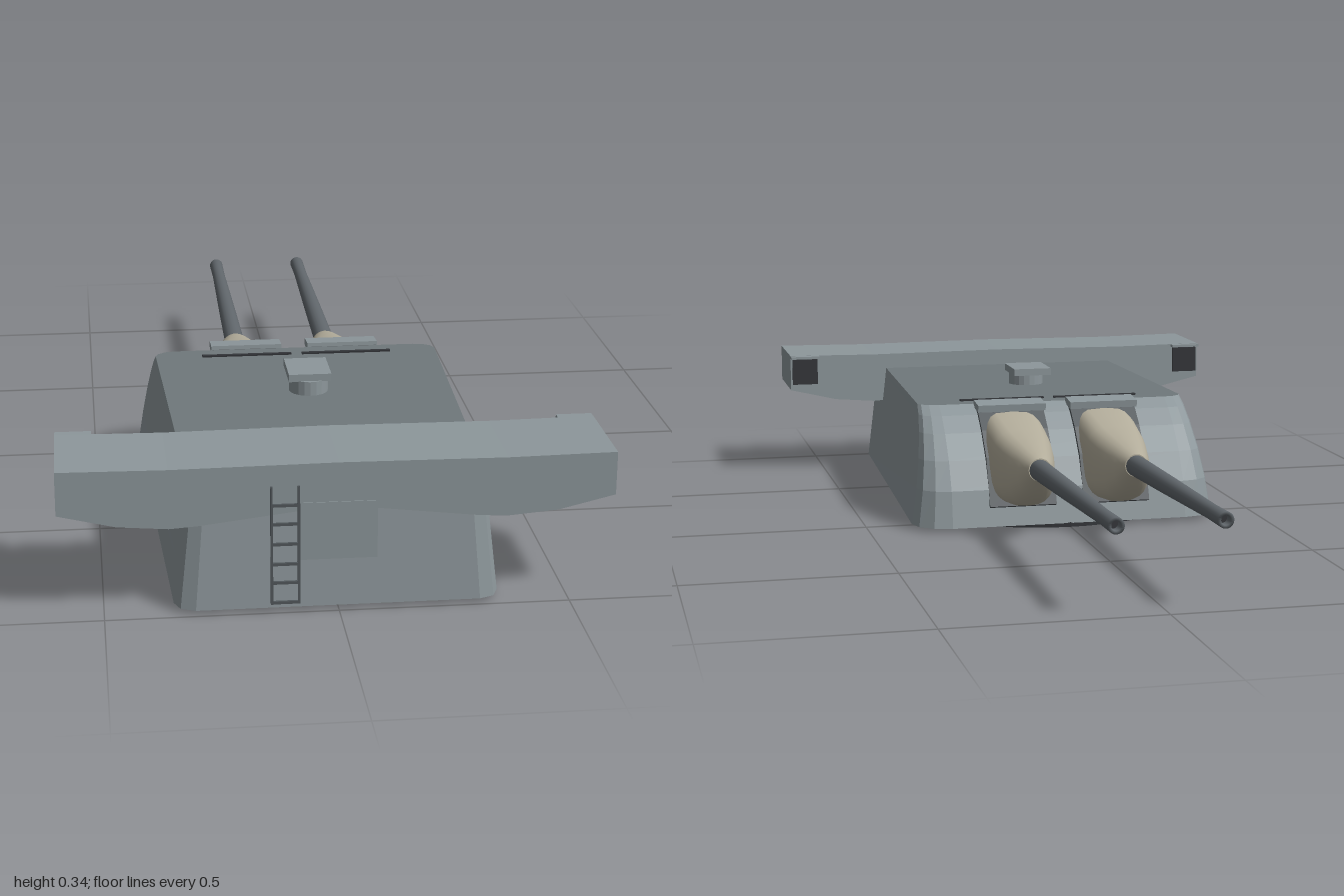
import * as THREE from 'three';

const mat = (color, flat = true) =>
  new THREE.MeshStandardMaterial({ color, flatShading: flat });
const HULL = mat(0x8d979b), ROOF = mat(0x6f787b), DARK = mat(0x333539);
const BARREL = mat(0x60666b, false), BAG = mat(0xb3ad9b, false), FRAME = mat(0x50565a);

// Skin a list of closed rings (equal point counts), with optional end caps
function loft(rings, capStart = true, capEnd = true) {
  const n = rings[0].length, pos = [], idx = [];
  rings.forEach(r => r.forEach(p => pos.push(...p)));
  for (let i = 0; i < rings.length - 1; i++) {
    for (let j = 0; j < n; j++) {
      const k = (j + 1) % n, a = i * n + j, b = i * n + k;
      idx.push(a, a + n, b, b, a + n, b + n);
    }
  }
  const cap = (ring, flip) => {
    const s = pos.length / 3;
    ring.forEach(p => pos.push(...p));
    for (let j = 1; j < n - 1; j++) {
      idx.push(s, s + (flip ? j + 1 : j), s + (flip ? j : j + 1));
    }
  };
  if (capStart) cap(rings[0], false);
  if (capEnd) cap(rings[rings.length - 1], true);
  const g = new THREE.BufferGeometry();
  g.setAttribute('position', new THREE.Float32BufferAttribute(pos, 3));
  g.setIndex(idx);
  g.computeVertexNormals();
  return g;
}

function add(parent, name, geometry, material, x = 0, y = 0, z = 0) {
  const m = new THREE.Mesh(geometry, material);
  m.name = name;
  m.position.set(x, y, z);
  parent.add(m);
  return m;
}
const box = (w, h, d) => new THREE.BoxGeometry(w, h, d);

// Gun-face profile: [y, z]
const FACE = [[0.01, -0.115], [0.1, -0.095], [0.17, -0.057], [0.23, -0.005], [0.268, 0.04], [0.29, 0.08]];

// Horizontal outline of the gunhouse at one height, with rounded corners
function hullRing([y, zFront]) {
  const t = (y - 0.01) / 0.28, mix = (a, b) => a + (b - a) * t;
  const zBack = mix(0.993, 0.972), wf = mix(0.39, 0.347), wb = mix(0.351, 0.318);
  const fx = mix(0.09, 0.05), fz = mix(0.08, 0.035), br = mix(0.045, 0.035);
  const pts = [];
  const corner = (cx, cz, rx, rz, start, seg) => {
    for (let i = 0; i <= seg; i++) {
      const a = start + (i / seg) * Math.PI / 2;
      pts.push([cx + rx * Math.cos(a), y, cz + rz * Math.sin(a)]);
    }
  };
  corner(wb - br, zBack - br, br, br, 0, 2);
  corner(-wb + br, zBack - br, br, br, Math.PI / 2, 2);
  corner(-wf + fx, zFront + fz, fx, fz, Math.PI, 3);
  corner(wf - fx, zFront + fz, fx, fz, Math.PI * 1.5, 3);
  return pts;
}

function makeGun(x) {
  const gun = new THREE.Group();
  gun.name = 'gun';
  gun.position.x = x;

  // Dark frame following the curved face around the gun port
  const path = FACE.slice(1).map(([y, z]) => [-z, y]);
  path[0] = [0.104, 0.06];
  const shape = new THREE.Shape();
  path.forEach(([u, y], i) => (i ? shape.lineTo(u + 0.008, y + 0.006) : shape.moveTo(u + 0.008, y)));
  [...path].reverse().forEach(([u, y]) => shape.lineTo(u - 0.03, y - 0.02));
  const frame = new THREE.ExtrudeGeometry(shape, { depth: 0.17, bevelEnabled: false });
  frame.rotateY(Math.PI / 2).translate(-0.085, 0, 0);
  add(gun, 'gunPortFrame', frame, FRAME);

  // Blast bag: [z, top, bottom, half width]
  const sections = [
    [0.05, 0.277, 0.065, 0.08], [-0.03, 0.264, 0.065, 0.08], [-0.1, 0.249, 0.064, 0.077],
    [-0.15, 0.24, 0.067, 0.07], [-0.2, 0.231, 0.081, 0.059], [-0.25, 0.222, 0.112, 0.046],
    [-0.275, 0.217, 0.138, 0.037], [-0.292, 0.212, 0.156, 0.028],
  ];
  const rings = sections.map(([z, top, bottom, w], i) => {
    const e = 0.5 + 0.5 * i / (sections.length - 1), ring = [];
    const pw = v => Math.sign(v) * Math.pow(Math.abs(v), e);
    for (let j = 0; j < 24; j++) {
      const a = (j / 24) * Math.PI * 2;
      ring.push([w * pw(Math.cos(a)), (top + bottom) / 2 + (top - bottom) / 2 * pw(Math.sin(a)), z]);
    }
    return ring;
  });
  add(gun, 'blastBag', loft(rings), BAG);

  // Tapered barrel, slightly elevated, with a dark bore
  const barrel = new THREE.Group();
  barrel.name = 'barrel';
  barrel.position.set(0, 0.183, -0.27);
  barrel.rotation.x = -Math.PI / 2 + 0.021;
  const profile = [[0, 0], [0.026, 0], [0.0225, 0.3], [0.0175, 0.62], [0.0175, 0.64], [0.0185, 0.73], [0.011, 0.73], [0.011, 0.70]];
  add(barrel, 'barrelTube', new THREE.LatheGeometry(profile.map(p => new THREE.Vector2(...p)), 20), mat(0x60666b, false)).material = BARREL;
  const bore = add(barrel, 'bore', new THREE.CircleGeometry(0.0112, 16), DARK, 0, 0.702, 0);
  bore.rotation.x = -Math.PI / 2;
  gun.add(barrel);

  // Port hood and roof slit
  add(gun, 'portHood', box(0.175, 0.018, 0.06), HULL, 0, 0.288, 0.05).rotation.x = -0.1;
  add(gun, 'roofSlit', box(0.22, 0.006, 0.01), DARK, Math.sign(x) * 0.003, 0.291, 0.13);
  return gun;
}

function makeRangefinder() {
  const g = new THREE.Group();
  g.name = 'rangefinder';
  const half = [[0.595, 0.333], [0.595, 0.236], [0.47, 0.206], [0.36, 0.197], [0.3, 0.201], [0.08, 0.227]];
  const s = new THREE.Shape();
  s.moveTo(0, 0.333);
  s.lineTo(0.36, 0.33);
  half.forEach(p => s.lineTo(...p));
  [...half].reverse().forEach(([x, y]) => s.lineTo(-x, y));
  s.lineTo(-0.36, 0.33);
  const geo = new THREE.ExtrudeGeometry(s, { depth: 0.225, bevelEnabled: false });
  add(g, 'rangefinderHousing', geo, HULL, 0, 0, 0.76);
  for (const side of [-1, 1]) {
    add(g, 'lensWindow', box(0.07, 0.07, 0.01), DARK, side * 0.555, 0.287, 0.758);
    add(g, 'lensHood', box(0.08, 0.007, 0.025), HULL, side * 0.555, 0.3285, 0.752);
  }
  return g;
}

function makeLadder() {
  const g = new THREE.Group();
  g.name = 'ladder';
  for (const x of [-0.029, 0.029]) add(g, 'ladderRail', box(0.005, 0.265, 0.008), FRAME, x, 0.1325, 0);
  for (const y of [0.003, 0.048, 0.09, 0.135, 0.18, 0.222]) add(g, 'ladderRung', box(0.058, 0.006, 0.006), FRAME, 0, y, 0);
  g.position.set(-0.115, 0.02, 0.997);
  g.rotation.x = -0.04;
  return g;
}

export function createModel() {
  const turret = new THREE.Group();
  turret.name = 'gunTurret';

  // Gunhouse shell, roof plate and turning base
  const rings = FACE.map(hullRing);
  add(turret, 'gunhouse', loft(rings, true, false), HULL);
  const roof = rings[rings.length - 1];
  add(turret, 'roof', loft([roof.map(([x, y, z]) => [x, y - 0.001, z]), roof]), ROOF);
  add(turret, 'turningBase', new THREE.CylinderGeometry(0.365, 0.365, 0.012, 48), DARK, 0, 0.006, 0.25);

  for (const side of [-1, 1]) turret.add(makeGun(side * 0.12));
  turret.add(makeRangefinder(), makeLadder());

  // Rear access door
  add(turret, 'rearDoor', box(0.165, 0.13, 0.06), HULL, 0, 0.18, 0.957);

  // Roof periscope
  add(turret, 'periscopePost', new THREE.CylinderGeometry(0.046, 0.046, 0.035, 20), HULL, 0, 0.306, 0.397);
  add(turret, 'periscopeCap', box(0.1, 0.018, 0.122), HULL, 0, 0.331, 0.373);
  return turret;
}
